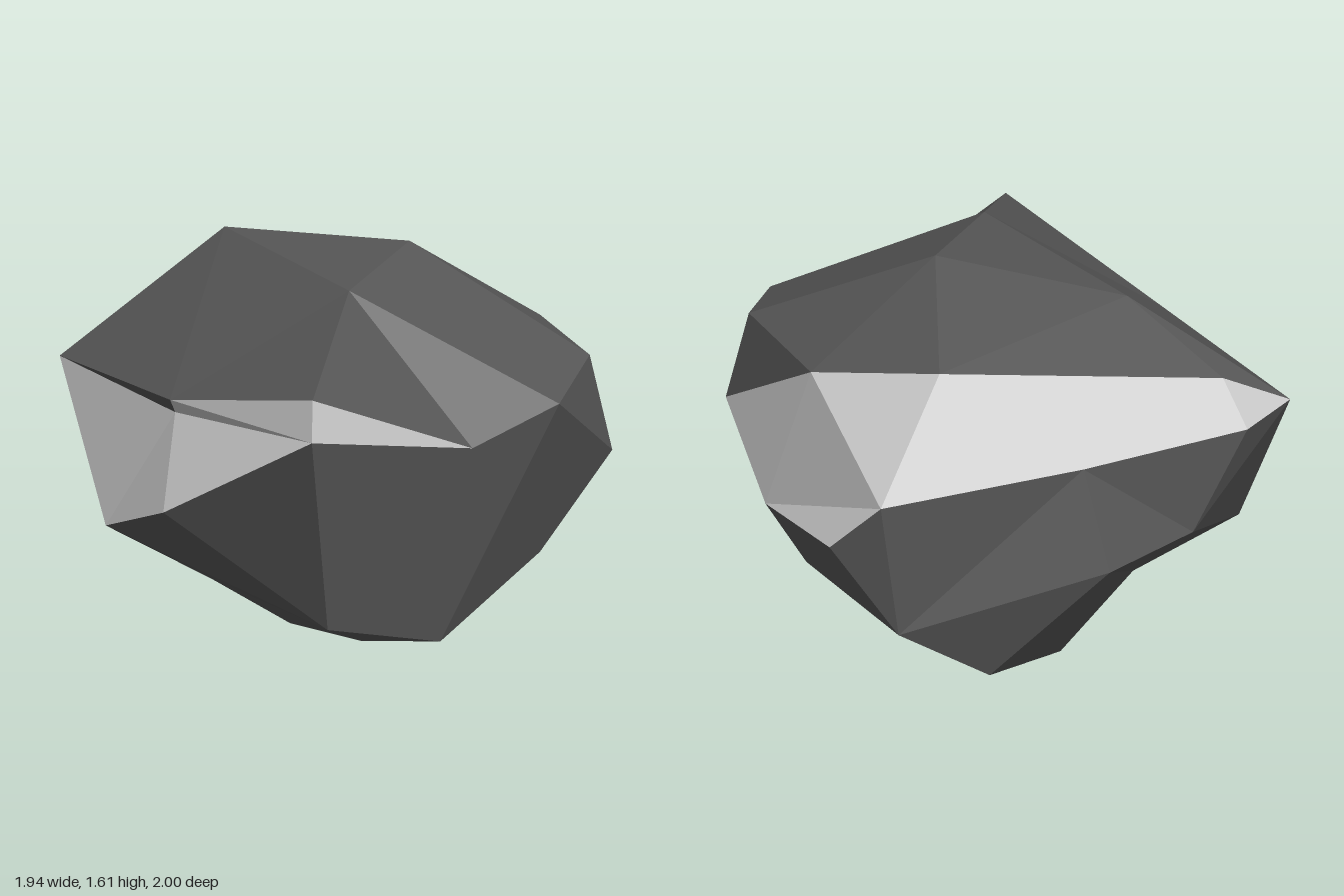
import * as THREE from 'three';

// Corner points of the boulder, grouped by region
const P = {
  // crown and upper rim
  a: [-0.28, 1.575, -0.585], b: [0.19, 1.605, 0.067], c: [-0.26, 1.53, 0.41],
  d: [-0.715, 1.26, 0.96], e: [-0.74, 1.10, 1.0], f: [0.005, 0.98, 0.935],
  g: [0.36, 1.13, 0.99], h: [0.66, 1.225, 0.68], i: [0.76, 1.245, 0.08],
  A: [0.495, 1.38, -0.435], D: [-0.59, 1.22, -0.795],
  x: [-0.873, 1.07, -0.84], z: [-0.873, 1.09, 0.075],
  // waist
  j: [0.725, 0.85, 0.745], k: [0.855, 0.945, -0.57], l: [0.97, 0.73, -0.38],
  m: [0.835, 0.605, 0.29], n: [0.4, 0.48, 0.755], w: [-0.97, 0.675, 0.2],
  Y: [-0.72, 0.97, -0.17], B: [0.1, 1.035, -0.86], C: [-0.6, 1.06, -0.955],
  E: [0.07, 0.635, -1.0], F: [-0.36, 0.67, -0.935],
  // foot
  o: [0.785, 0.385, -0.59], p: [0.735, 0.382, 0.15], q: [0.42, 0.15, -0.68],
  r: [-0.09, 0, -0.4], s: [-0.06, 0.04, 0.13], t: [-0.06, 0.18, 0.79],
  u: [-0.59, 0.3, 0.85], v: [-0.835, 0.45, -0.53], G: [-0.46, 0.23, -0.35],
};
const CENTRE = new THREE.Vector3(0, 0.8, 0);

// Each fan is a hub corner followed by its rim; facets always face away from the centre
function facets(fans) {
  const out = [];
  for (const fan of fans) {
    for (let n = 1; n < fan.length - 1; n++) {
      const [h, p, q] = [fan[0], fan[n], fan[n + 1]].map((key) => new THREE.Vector3(...P[key]));
      const normal = p.clone().sub(h).cross(q.clone().sub(h));
      const away = h.clone().add(p).add(q).divideScalar(3).sub(CENTRE);
      const order = normal.dot(away) > 0 ? [h, p, q] : [h, q, p];
      order.forEach((corner) => out.push(corner.x, corner.y, corner.z));
    }
  }
  const geometry = new THREE.BufferGeometry();
  geometry.setAttribute('position', new THREE.Float32BufferAttribute(out, 3));
  geometry.computeVertexNormals(); // unshared corners keep every facet flat
  return geometry;
}

export function createModel() {
  const darkStone = new THREE.MeshStandardMaterial({ color: 0x555555 });
  darkStone.name = 'darkStone';
  const paleStone = new THREE.MeshStandardMaterial({ color: 0xc8c8c8 });
  paleStone.name = 'paleStone';

  const parts = [
    ['crown', darkStone, ['czabgfdz', 'bghiAa', 'aADxz']],
    ['frontFace', darkStone, ['jihgn', 'tngfe', 'teu', 'uewv']],
    ['backFace', darkStone, ['EFBo', 'FBCxv', 'oBkl']],
    ['underside', darkStone, ['tuspn', 'uvGs', 'psrqolmn', 'EoqrGvF', 'Gsr']],
    ['notchRoof', darkStone, ['Yxz']],
    // pale broken surfaces
    ['sideNotch', paleStone, ['Yxvwez', 'zed']],
    ['frontChip', paleStone, ['fde']],
    ['sideFracture', paleStone, ['mnjikl']],
    ['backFracture', paleStone, ['AikBD', 'DBCx']],
  ];

  const boulder = new THREE.Group();
  boulder.name = 'boulder';
  for (const [name, material, fans] of parts) {
    const mesh = new THREE.Mesh(facets(fans), material);
    mesh.name = name;
    boulder.add(mesh);
  }
  return boulder;
}
